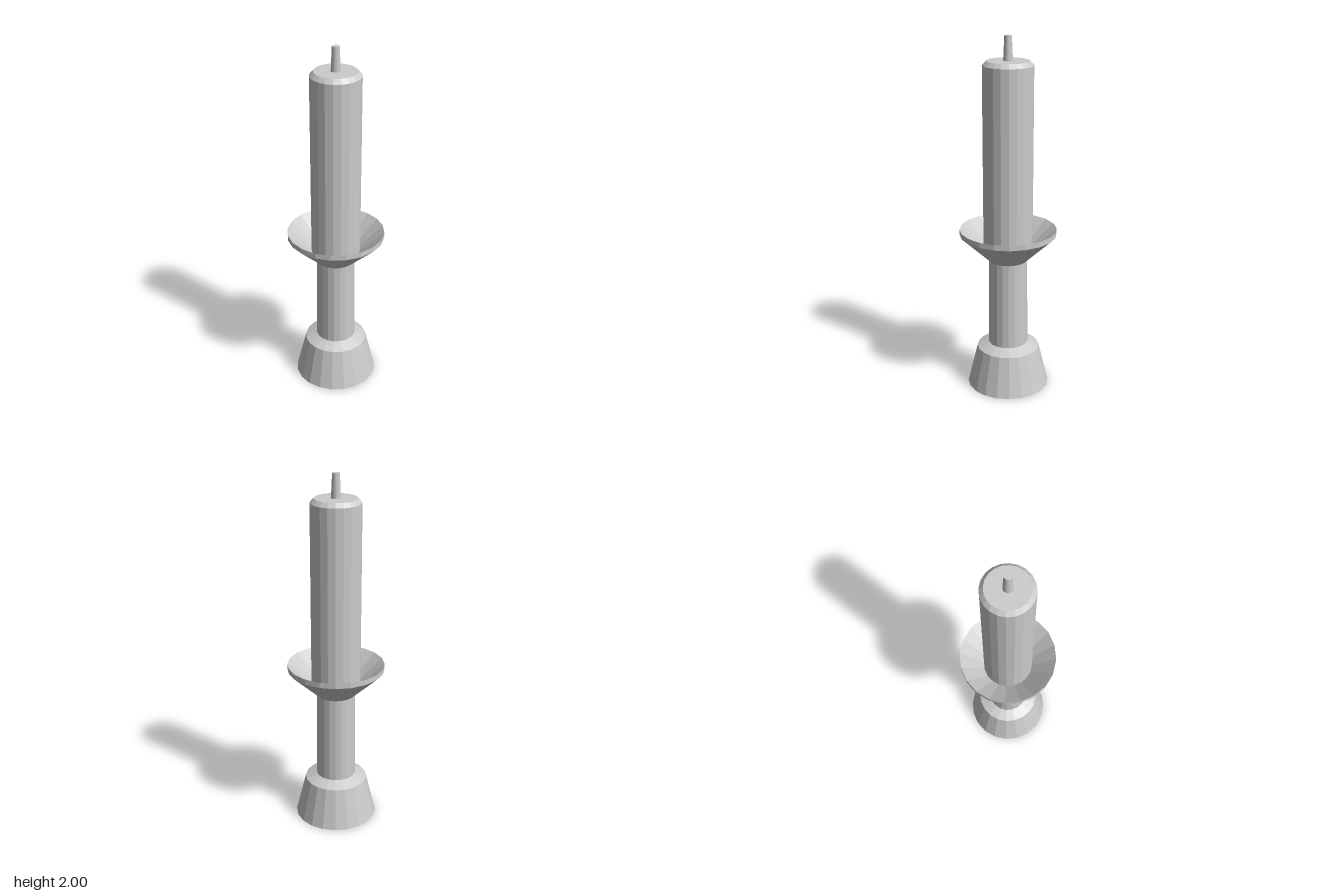
import * as THREE from 'three';

const SIDES = 20;

export function createModel() {
  const model = new THREE.Group();
  const material = new THREE.MeshStandardMaterial({ color: 0xcccccc, flatShading: true });

  // Faceted turned part; profile runs bottom to top as [radius, height]
  const turned = (name, profile) => {
    const points = profile.map(([r, y]) => new THREE.Vector2(r, y));
    const mesh = new THREE.Mesh(new THREE.LatheGeometry(points, SIDES), material);
    mesh.name = name;
    model.add(mesh);
  };

  // Flared foot with a sloped shoulder
  turned('base', [[0, 0], [0.232, 0], [0.176, 0.23], [0.11, 0.26], [0, 0.26]]);

  // Slightly tapered column
  turned('stem', [[0.112, 0.255], [0.107, 0.77]]);

  // Hollow conical drip dish with an upright rim
  turned('dripDish', [[0, 0.76], [0.107, 0.76], [0.27, 0.912], [0.27, 0.942], [0.11, 0.80], [0, 0.80]]);

  // Candle with a bevelled top edge
  turned('candle', [[0, 0.79], [0.137, 0.79], [0.137, 1.847], [0.116, 1.87], [0, 1.87]]);

  // Tapered wick
  turned('wick', [[0.026, 1.865], [0.02, 2], [0, 2]]);

  return model;
}
